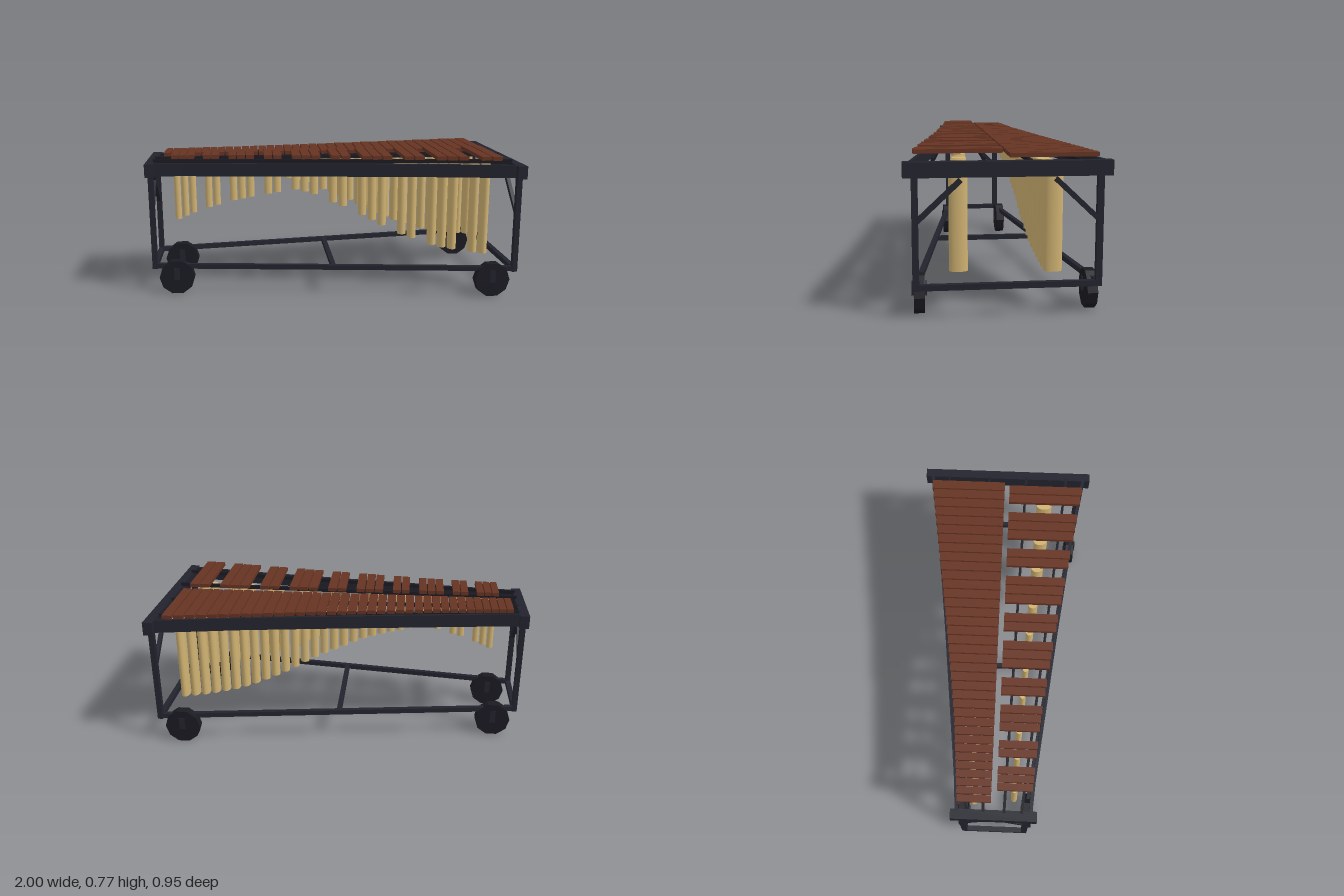
import * as THREE from 'three';

const mat = (name, color) => {
  const m = new THREE.MeshStandardMaterial({ color });
  m.name = name;
  return m;
};
const lerp = THREE.MathUtils.lerp;

// piecewise linear curve through [x, value] points
function along(points, x) {
  for (let i = 1; i < points.length; i++) {
    const [a, va] = points[i - 1], [b, vb] = points[i];
    if (x <= b || i === points.length - 1) return lerp(va, vb, (x - a) / (b - a));
  }
}

// bar centre for scale step i, counted from the low end
const barX = i => 0.883 - 0.0585 * i + 0.0001 * i * i + 0.0000033 * i ** 3;

const BAR_END = [[-0.92, 0.183], [-0.5, 0.22], [0, 0.29], [0.9, 0.432]];
const NATURAL_BOTTOM = [[-0.92, 0.66], [-0.7, 0.65], [-0.58, 0.64], [-0.42, 0.62], [-0.2, 0.57], [-0.1, 0.54],
  [0, 0.495], [0.1, 0.455], [0.2, 0.405], [0.3, 0.35], [0.4, 0.305], [0.5, 0.265], [0.6, 0.235],
  [0.75, 0.207], [0.9, 0.19]];
const SHARP_BOTTOM = [[-0.85, 0.4], [-0.757, 0.44], [-0.67, 0.47], [-0.54, 0.505], [-0.44, 0.525],
  [-0.29, 0.55], [-0.2, 0.565], ...NATURAL_BOTTOM.slice(5)];
const RAIL = [[-0.96, 0.192], [-0.8, 0.205], [-0.55, 0.235], [0, 0.302], [0.5, 0.368], [0.96, 0.445]];

export function createModel() {
  const root = new THREE.Group();
  root.name = 'marimba';
  const frameMat = mat('dark frame', 0x23232e);
  const blackMat = mat('black rubber', 0x1a1a22);
  const woodMat = mat('rosewood', 0x653322);
  const brassMat = mat('brass', 0xd0b272);

  const group = (name, parent = root) => {
    const g = new THREE.Group();
    g.name = name;
    parent.add(g);
    return g;
  };
  const add = (parent, name, geo, material, x = 0, y = 0, z = 0) => {
    const m = new THREE.Mesh(geo, material);
    m.name = name;
    m.position.set(x, y, z);
    parent.add(m);
    return m;
  };
  const box = (parent, name, w, h, d, x, y, z, material = frameMat) =>
    add(parent, name, new THREE.BoxGeometry(w, h, d), material, x, y, z);
  // square beam between two points
  const beam = (parent, name, a, b, w, h, material = frameMat) => {
    const p = new THREE.Vector3(...a), q = new THREE.Vector3(...b);
    const m = box(parent, name, w, h, p.distanceTo(q), 0, 0, 0, material);
    m.position.copy(p).add(q).multiplyScalar(0.5);
    m.lookAt(q);
    return m;
  };

  // end frames: top beam, legs, lower crossbar and diagonal braces
  const frame = group('frame');
  for (const [x, halfBeam, legZ] of [[0.975, 0.473, 0.42], [-0.975, 0.215, 0.165]]) {
    const end = group(x > 0 ? 'lowEndFrame' : 'highEndFrame', frame);
    box(end, 'endBeam', 0.05, 0.07, halfBeam * 2, x, 0.692, 0);
    box(end, 'lowerCrossbar', 0.028, 0.027, legZ * 2, x, 0.154, 0);
    for (const s of [1, -1]) {
      box(end, 'leg', 0.028, 0.52, 0.03, x, 0.4, s * legZ);
      beam(end, 'brace', [x, 0.455, s * (legZ - 0.005)], [x, 0.643, s * (legZ - 0.205)], 0.02, 0.024);
    }
  }

  // long lower rails and middle crossbar
  for (const s of [1, -1])
    beam(frame, 'lowerRail', [-0.975, 0.155, s * 0.165], [0.975, 0.155, s * 0.42], 0.026, 0.026);
  box(frame, 'middleCrossbar', 0.026, 0.026, 0.585, 0, 0.155, 0);

  // curved side rails
  for (const s of [1, -1]) {
    const outer = RAIL.map(([x, z]) => new THREE.Vector2(x, -s * z));
    const inner = RAIL.map(([x, z]) => new THREE.Vector2(x, -s * (z - 0.018))).reverse();
    const geo = new THREE.ExtrudeGeometry(new THREE.Shape([...outer, ...inner]),
      { depth: 0.068, bevelEnabled: false });
    geo.rotateX(-Math.PI / 2);
    add(frame, 'sideRail', geo, frameMat, 0, 0.66, 0);
  }

  // narrow rails that carry the bars
  for (const [s, y] of [[1, 0.733], [-1, 0.718]]) {
    beam(frame, 'innerBarRail', [-0.96, y, s * 0.052], [0.96, y, s * 0.107], 0.014, 0.02, blackMat);
    beam(frame, 'outerBarRail', [-0.96, y - 0.001, s * 0.138], [0.96, y - 0.001, s * 0.338], 0.014, 0.02, blackMat);
  }

  // wheels with a fork plate on each side
  const wheels = group('wheels');
  for (const [x, z] of [[0.855, 0.404], [-0.855, 0.18]]) {
    for (const s of [1, -1]) {
      const wheel = group('caster', wheels);
      wheel.position.set(x, 0.095, s * z);
      const tyre = new THREE.CylinderGeometry(0.096, 0.096, 0.05, 10).toNonIndexed();
      tyre.rotateX(Math.PI / 2);
      tyre.rotateZ(Math.PI / 10);
      tyre.computeVertexNormals();
      add(wheel, 'tyre', tyre, blackMat);
      for (const side of [1, -1]) box(wheel, 'forkPlate', 0.03, 0.068, 0.005, 0, 0.022, side * 0.033);
      box(wheel, 'axle', 0.016, 0.016, 0.066, 0, 0, 0);
    }
  }

  // one sounding bar and its resonator; s is the side of the keyboard
  const bars = group('bars');
  const tubes = group('resonators');
  function note(i, s, y, innerZ, bottoms, kind) {
    const x = barX(i);
    const step = barX(i - 0.5) - barX(i + 0.5);
    const outerZ = along(BAR_END, x);
    const midZ = (innerZ + outerZ) / 2;
    box(bars, kind + 'Bar', step * 0.88, 0.02, outerZ - innerZ, x, y, s * midZ, woodMat);
    const top = 0.7, bottom = along(bottoms, x);
    const rz = 0.016 + 0.029 * THREE.MathUtils.clamp((x + 0.1) / 0.98, 0, 1);
    const geo = new THREE.CylinderGeometry(1, 1, top - bottom, 20);
    geo.scale(step * 0.43, 1, rz);
    add(tubes, kind + 'Resonator', geo, brassMat, x, (top + bottom) / 2, s * midZ);
  }

  // five octaves: back row of naturals, raised front row of sharps in twos and threes
  for (let i = 0; i <= 35; i++) note(i, -1, 0.743, 0.015, NATURAL_BOTTOM, 'natural');
  for (let octave = 0; octave < 5; octave++)
    for (const k of [0.5, 1.5, 3.5, 4.5, 5.5])
      note(octave * 7 + k, 1, 0.761, 0.013, SHARP_BOTTOM, 'sharp');

  return root;
}
